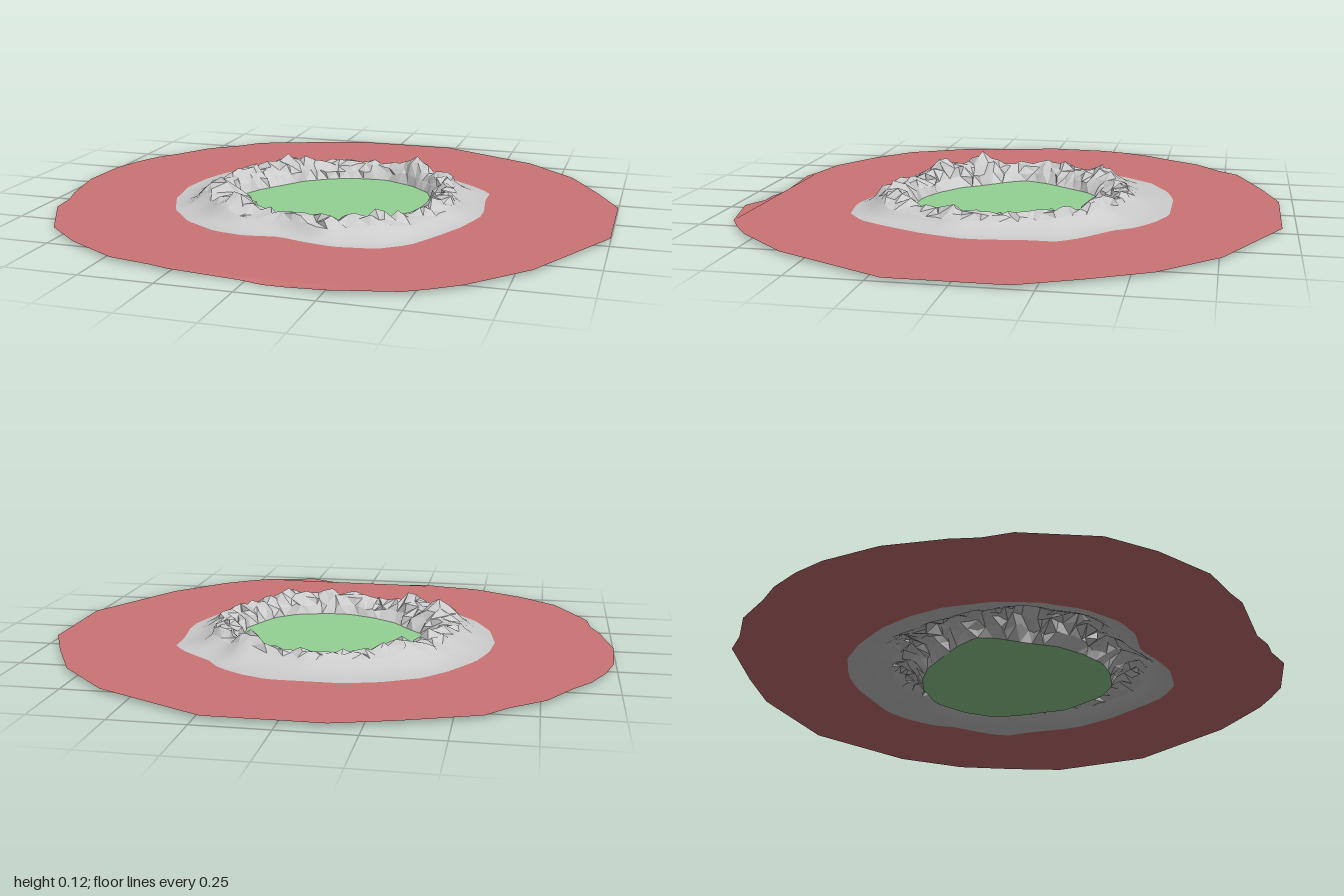
import * as THREE from 'three';

// Outlines seen from above, as [x, z] corners running from +x towards +z
const GROUND = [[1, -0.18], [1, 0.2], [0.8, 0.59], [0.72, 0.68], [0.63, 0.78], [0.55, 0.84], [0.47, 0.89], [0.26, 0.94],
  [0.13, 0.92], [0.06, 0.92], [-0.02, 0.9], [-0.25, 0.9], [-0.32, 0.88], [-0.47, 0.85], [-0.66, 0.74], [-0.8, 0.62],
  [-0.92, 0.39], [-0.93, 0.29], [-0.96, 0.2], [-1, 0], [-0.99, -0.2], [-0.96, -0.31], [-0.91, -0.42], [-0.85, -0.5],
  [-0.77, -0.63], [-0.66, -0.72], [-0.59, -0.8], [-0.35, -0.89], [-0.15, -0.95], [0.23, -0.95], [0.61, -0.76],
  [0.8, -0.57], [0.91, -0.37]];
const SKIRT = [[0.55, 0], [0.55, 0.08], [0.51, 0.22], [0.45, 0.35], [0.39, 0.46], [0.3, 0.53], [0.16, 0.55], [0.06, 0.53],
  [-0.04, 0.5], [-0.16, 0.52], [-0.27, 0.5], [-0.4, 0.42], [-0.5, 0.3], [-0.56, 0.16], [-0.585, 0], [-0.57, -0.13],
  [-0.53, -0.25], [-0.45, -0.38], [-0.37, -0.47], [-0.24, -0.54], [-0.12, -0.57], [0.12, -0.57], [0.22, -0.53],
  [0.31, -0.47], [0.36, -0.4], [0.47, -0.31], [0.53, -0.24], [0.53, -0.14]];
const ROCK = [[0.45, 0], [0.46, 0.12], [0.41, 0.25], [0.36, 0.37], [0.24, 0.44], [0.1, 0.49], [0, 0.45], [-0.12, 0.44],
  [-0.25, 0.41], [-0.34, 0.33], [-0.43, 0.21], [-0.47, 0.06], [-0.43, -0.1], [-0.4, -0.26], [-0.28, -0.35],
  [-0.15, -0.41], [0, -0.44], [0.15, -0.4], [0.28, -0.34], [0.4, -0.22], [0.43, -0.1]];
const FLOOR = [[0.34, 0], [0.35, 0.08], [0.31, 0.18], [0.28, 0.25], [0.2, 0.32], [0.08, 0.35], [0, 0.35], [-0.1, 0.31],
  [-0.19, 0.25], [-0.25, 0.17], [-0.33, 0.08], [-0.36, 0.02], [-0.32, -0.07], [-0.25, -0.17], [-0.2, -0.24],
  [-0.12, -0.3], [-0.03, -0.34], [0.1, -0.35], [0.22, -0.29], [0.3, -0.21], [0.33, -0.12]];
// Tallest crags: [x, z, height added to the ridge]
const PEAKS = [[-0.37, 0.2, 0.045], [0.21, -0.31, 0.045], [-0.28, 0.36, 0.03], [0.03, 0.42, 0.02],
  [0.33, -0.2, 0.02], [0.43, 0.1, 0.01], [-0.4, -0.1, 0.02], [-0.3, -0.31, 0.03], [0.25, 0.36, 0.022]];

const N = 90, GROUND_Y = 0.012, FLOOR_Y = 0.004;

function seeded(seed) {
  return () => {
    seed = (seed * 16807) % 2147483647;
    return seed / 2147483647 * 2 - 1;
  };
}

// Distance from the centre to an outline in direction a
function reach(outline, a) {
  const c = Math.cos(a), s = Math.sin(a);
  for (let i = 0; i < outline.length; i++) {
    const [x, z] = outline[i], [u, v] = outline[(i + 1) % outline.length];
    const p = c * z - s * x, q = c * v - s * u;
    if (p <= 0 && q > 0) {
      const t = p / (p - q), d = (x + t * (u - x)) * c + (z + t * (v - z)) * s;
      if (d > 0) return d;
    }
  }
  return 0.4;
}

function ridge(a) {
  let h = 0.053;
  for (const [x, z, add] of PEAKS) {
    const d = a - Math.atan2(z, x), w = Math.atan2(Math.sin(d), Math.cos(d)) / 0.14;
    h += add * Math.exp(-w * w);
  }
  return h;
}

const paint = (color) => new THREE.MeshStandardMaterial({ color, side: THREE.DoubleSide });

// Closed band through rings of points, inner ring first
function band(rings) {
  const index = [];
  for (let r = 0; r < rings.length - 1; r++) {
    for (let i = 0; i < N; i++) {
      const j = (i + 1) % N, a = r * N + i, b = a + N, c = r * N + j, d = c + N;
      if ((i + r) % 2) index.push(a, c, b, c, d, b);
      else index.push(a, c, d, a, d, b);
    }
  }
  const geo = new THREE.BufferGeometry();
  geo.setAttribute('position', new THREE.Float32BufferAttribute(rings.flat(2), 3));
  geo.setIndex(index);
  return geo;
}

// Flat sheet bounded by [x, z] points, with an optional hole
function sheet(points, hole, y) {
  const vec = (list) => list.map(([x, z]) => new THREE.Vector2(x, -z));
  const shape = new THREE.Shape(vec(points));
  if (hole) shape.holes.push(new THREE.Path(vec(hole)));
  return new THREE.ShapeGeometry(shape).rotateX(-Math.PI / 2).translate(0, y, 0);
}

export function createModel() {
  const group = new THREE.Group();
  const add = (name, geo, material) => {
    const mesh = new THREE.Mesh(geo, material);
    mesh.name = name;
    group.add(mesh);
  };
  const rand = seeded(4711);
  const angles = Array.from({ length: N }, (_, i) => i / N * Math.PI * 2);
  const at = (a, r, y) => [r * Math.cos(a), y, r * Math.sin(a)];
  const flat = (ring) => ring.map(([x, , z]) => [x, z]);

  // Craggy wall: [way across, share of the ridge height, roughness]
  const wall = [[0, 0, 0], [0.16, 0.4, 1], [0.36, 0.75, 1], [0.58, 1, 1], [0.8, 0.85, 1], [1, 0.62, 0.25]];
  const wallRings = wall.map(([t, h, rough]) => angles.map((a) => {
    const b = a + rand() * rough * 0.028;
    const inner = reach(FLOOR, b), outer = reach(ROCK, b);
    const r = inner + (outer - inner) * (t + rand() * rough * 0.13);
    return at(b, r, t === 0 ? FLOOR_Y : GROUND_Y + ridge(b) * h * (1 + rand() * rough * 0.22));
  }));
  const rock = band(wallRings).toNonIndexed();
  rock.computeVertexNormals();
  const rockPaint = paint(0xcccccc);
  rockPaint.flatShading = true;
  add('rockyWall', rock, rockPaint);

  // Smooth outer slope, easing from the crags down to the ground
  const top = wallRings[wallRings.length - 1];
  const slopeRings = [[0, 1], [0.25, 0.5], [0.55, 0.18], [0.8, 0.05], [1, 0]].map(([t, h]) => top.map(([x, y, z], i) => {
    const a = Math.atan2(z, x), r = Math.hypot(x, z);
    return t === 0 ? top[i] : at(a, r + (reach(SKIRT, a) - r) * t, GROUND_Y + (y - GROUND_Y) * h);
  }));
  const slope = band(slopeRings);
  slope.computeVertexNormals();
  add('outerSlope', slope, paint(0xcccccc));

  // Green crater floor
  add('craterFloor', sheet(flat(wallRings[0]), null, FLOOR_Y), paint(0x94d294));

  // Surrounding ground, sagging slightly at the front edge
  const ground = sheet(GROUND, flat(slopeRings[slopeRings.length - 1]), GROUND_Y);
  const pos = ground.attributes.position;
  for (let i = 0; i < pos.count; i++) {
    if (pos.getZ(i) > 0.89 && Math.abs(pos.getX(i)) < 0.2) pos.setY(i, 0);
  }
  ground.computeVertexNormals();
  add('surroundingGround', ground, paint(0xcb7474));

  return group;
}
